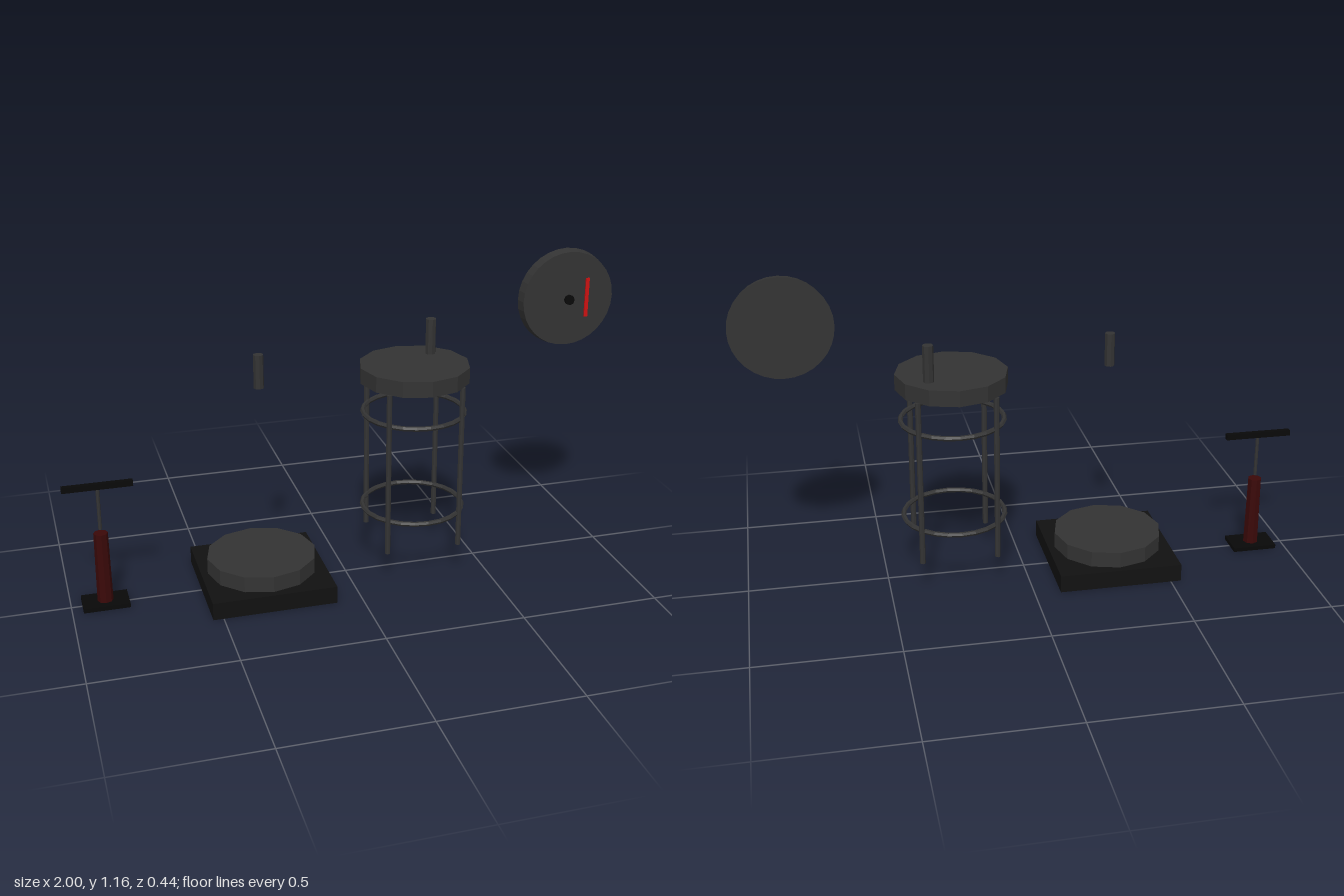
import * as THREE from 'three';

export function createModel() {
  const model = new THREE.Group();
  const mat = (name, color) => {
    const m = new THREE.MeshStandardMaterial({ color, flatShading: true });
    m.name = name;
    return m;
  };
  const grey = mat('charcoal metal', 0x333333);
  const black = mat('black base', 0x111111);
  const jet = mat('jet black', 0x080808);
  const maroon = mat('dark red', 0x3a0808);
  const red = mat('pointer red', 0xcc1111);

  const group = (name, x, y = 0, z = 0) => {
    const g = new THREE.Group();
    g.name = name;
    g.position.set(x, y, z);
    model.add(g);
    return g;
  };
  const add = (parent, name, geometry, material, x, y, z) => {
    const mesh = new THREE.Mesh(geometry, material);
    mesh.name = name;
    mesh.position.set(x, y, z);
    parent.add(mesh);
    return mesh;
  };
  // Box and upright cylinder given by their bottom and top heights
  const box = (parent, name, material, w, d, y0, y1, x = 0, z = 0) =>
    add(parent, name, new THREE.BoxGeometry(w, y1 - y0, d), material, x, (y0 + y1) / 2, z);
  const post = (parent, name, material, rTop, rBottom, y0, y1, sides, x = 0, z = 0) =>
    add(parent, name, new THREE.CylinderGeometry(rTop, rBottom, y1 - y0, sides), material, x, (y0 + y1) / 2, z);

  // Hand pump
  const pump = group('handPump', -0.88);
  box(pump, 'pumpFoot', jet, 0.163, 0.106, 0, 0.015);
  post(pump, 'pumpBarrel', maroon, 0.025, 0.028, 0.015, 0.277, 8);
  post(pump, 'pumpRod', grey, 0.0065, 0.0065, 0.291, 0.446, 8);
  box(pump, 'pumpHandle', jet, 0.243, 0.02, 0.444, 0.464);

  // Square base with a round drum
  const base = group('base', -0.315);
  box(base, 'baseBlock', black, 0.444, 0.444, 0, 0.064);
  post(base, 'baseDrum', grey, 0.198, 0.198, 0.064, 0.122, 12);

  // Loose outlet pipe
  post(model, 'loosePipe', grey, 0.018, 0.018, 0.76, 0.88, 8, -0.313, 0.019);

  // Frame with four legs, two hoops, a lid and a pipe
  const frame = group('frame', 0.253);
  post(frame, 'lid', grey, 0.198, 0.198, 0.73, 0.787, 12);
  post(frame, 'lidPipe', grey, 0.019, 0.019, 0.787, 0.917, 8, 0.09, -0.089);
  for (const x of [-0.134, 0.134])
    for (const z of [-0.134, 0.134])
      post(frame, 'leg', grey, 0.01, 0.01, 0.122, 0.73, 8, x, z);
  for (const y of [0.245, 0.61]) {
    const hoop = add(frame, 'hoop', new THREE.TorusGeometry(0.182, 0.009, 6, 24), grey, 0, y, 0);
    hoop.rotation.x = Math.PI / 2;
  }

  // Dial with hub and floating pointer, facing forwards
  const dial = group('dial', 0.82, 0.982);
  const face = add(dial, 'dialDisc', new THREE.CylinderGeometry(0.171, 0.177, 0.038, 32), grey, 0, 0, 0);
  face.rotation.x = Math.PI / 2;
  const hub = add(dial, 'hub', new THREE.CylinderGeometry(0.018, 0.018, 0.013, 8), jet, 0, -0.001, 0.03);
  hub.rotation.x = Math.PI / 2;
  add(dial, 'pointer', new THREE.BoxGeometry(0.013, 0.138, 0.005), red, 0, 0.047, 0.163);

  return model;
}
